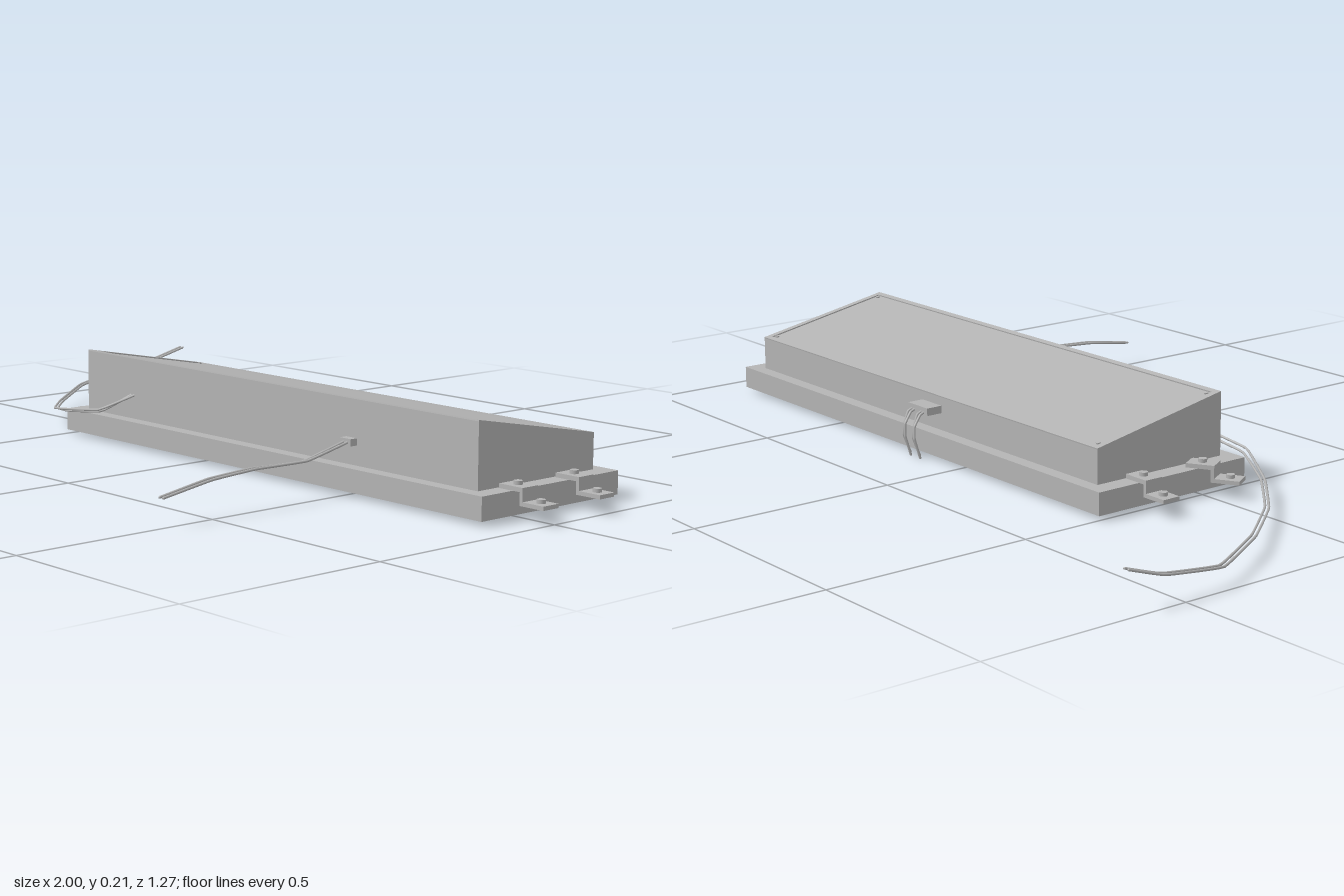
import * as THREE from 'three';

const V = (x, y, z) => new THREE.Vector3(x, y, z);

export function createModel() {
  const model = new THREE.Group();
  const grey = new THREE.MeshStandardMaterial({ color: 0xb4b4b4 });
  grey.name = 'grey';

  const add = (parent, name, geometry, x = 0, y = 0, z = 0) => {
    const mesh = new THREE.Mesh(geometry, grey);
    mesh.name = name;
    mesh.position.set(x, y, z);
    parent.add(mesh);
    return mesh;
  };
  // box given by its limits on each axis
  const block = (parent, name, x0, x1, y0, y1, z0, z1) =>
    add(parent, name, new THREE.BoxGeometry(x1 - x0, y1 - y0, z1 - z0),
      (x0 + x1) / 2, (y0 + y1) / 2, (z0 + z1) / 2);

  // base slab
  block(model, 'baseSlab', -0.5, 0.914, 0.01, 0.063, -0.299, 0.127);

  // wedge housing: side profile in z and y, swept along x
  const x0 = -0.455, x1 = 0.871, zBack = -0.266, zFront = 0.094, yBack = 0.145, yFront = 0.213;
  const rimHeight = 0.003;
  const profile = new THREE.Shape([
    new THREE.Vector2(zBack, 0.063), new THREE.Vector2(zFront, 0.063),
    new THREE.Vector2(zFront, yFront - rimHeight), new THREE.Vector2(zBack, yBack - rimHeight)]);
  const wedge = new THREE.ExtrudeGeometry(profile, { depth: x1 - x0, bevelEnabled: false });
  wedge.rotateY(-Math.PI / 2);
  add(model, 'wedgeHousing', wedge, x1);

  // sloping lid: raised rim around a panel, with corner screws
  const lid = new THREE.Group();
  lid.name = 'slopingLid';
  lid.position.set((x0 + x1) / 2, (yBack + yFront) / 2 - rimHeight, (zBack + zFront) / 2);
  lid.rotation.x = -Math.atan2(yFront - yBack, zFront - zBack);
  model.add(lid);
  const w = (x1 - x0) / 2, d = Math.hypot(zFront - zBack, yFront - yBack) / 2;
  const rectangle = (a, b) => [[-a, -b], [a, -b], [a, b], [-a, b]].map(p => new THREE.Vector2(...p));
  const rimShape = new THREE.Shape(rectangle(w, d));
  rimShape.holes.push(new THREE.Path(rectangle(w - 0.016, d - 0.014).reverse()));
  const rim = new THREE.ExtrudeGeometry(rimShape, { depth: rimHeight, bevelEnabled: false });
  rim.rotateX(-Math.PI / 2);
  add(lid, 'lidRim', rim);
  for (const sx of [-1, 1]) for (const sz of [-1, 1]) {
    add(lid, 'lidScrew', new THREE.CylinderGeometry(0.005, 0.005, 0.003, 10),
      sx * (w - 0.025), 0.0015, sz * (d - 0.023));
  }

  // stepped mounting clips, pointing outwards along their own +x
  const addClip = (x, z, angle) => {
    const clip = new THREE.Group();
    clip.name = 'mountingClip';
    clip.position.set(x, 0, z);
    clip.rotation.y = angle;
    model.add(clip);
    block(clip, 'clipUpperPlate', -0.062, 0.004, 0.063, 0.073, -0.023, 0.023);
    block(clip, 'clipRiser', -0.004, 0.004, 0.034, 0.073, -0.023, 0.023);
    block(clip, 'clipLowerPlate', 0, 0.062, 0.034, 0.043, -0.023, 0.023);
    for (const [sx, sy] of [[-0.03, 0.077], [0.035, 0.047]]) {
      add(clip, 'clipScrew', new THREE.CylinderGeometry(0.01, 0.01, 0.009, 10), sx, sy, 0);
    }
  };
  addClip(0.938, -0.163, 0);
  addClip(0.938, 0.012, 0);
  addClip(-0.518, -0.163, Math.PI);
  addClip(-0.518, 0.022, Math.PI + Math.PI / 6);

  // thin wires with nearly straight runs
  const addWire = (name, points, radius = 0.003) => {
    const path = new THREE.CatmullRomCurve3(points, false, 'catmullrom', 0.12);
    add(model, name, new THREE.TubeGeometry(path, 64, radius, 6));
    points.slice(0, 1).concat(points.slice(-1)).forEach(p =>
      add(model, name + 'End', new THREE.SphereGeometry(radius, 6, 4), p.x, p.y, p.z));
  };

  // long pair that leaves the front and sweeps around the side
  for (const s of [0, 1]) {
    const o = s * 0.012;
    addWire('sideWire', [
      V(-0.272 - o, 0.122, 0.09), V(-0.325 - o / 2, 0.086 - o / 2, 0.163 - o),
      V(-0.468, 0.07 - o / 2, 0.163 - o), V(-0.612 + o / 2, 0.045, 0.083 - o / 2),
      V(-0.742 + o, 0.034, -0.03), V(-0.88 + o, 0.042, -0.2),
      V(-0.983 + o, 0.043, -0.385), V(-0.996 + o, 0.066, -0.55), V(-0.984 + o, 0.091, -0.633)]);
  }

  // front gland and its pair of wires
  block(model, 'frontGland', 0.474, 0.508, 0.108, 0.124, zFront, 0.113);
  for (const s of [-1, 1]) {
    addWire('frontWire', [
      V(0.491 + s * 0.006, 0.116, 0.11), V(0.488 + s * 0.008, 0.087 + s * 0.002, 0.23),
      V(0.493 + s * 0.006, 0.091, 0.38), V(0.493 + s * 0.007, 0.084, 0.5),
      V(0.497 + s * 0.006, 0.064, 0.633)]);
  }

  // back connector with two hanging pairs of leads
  block(model, 'backConnector', 0.11, 0.185, 0.104, 0.122, -0.307, zBack);
  for (const x of [0.13, 0.167]) for (const s of [-1, 1]) {
    const dx = x + s * 0.005, dz = s * 0.006;
    addWire('backLead', [
      V(dx, 0.112, -0.3), V(dx, 0.105, -0.317), V(dx, 0.08, -0.33 + dz / 2),
      V(dx + s * 0.002, 0.05, -0.332 + dz / 2), V(dx + s * 0.004, 0.003, -0.315 + dz)]);
  }

  return model;
}
